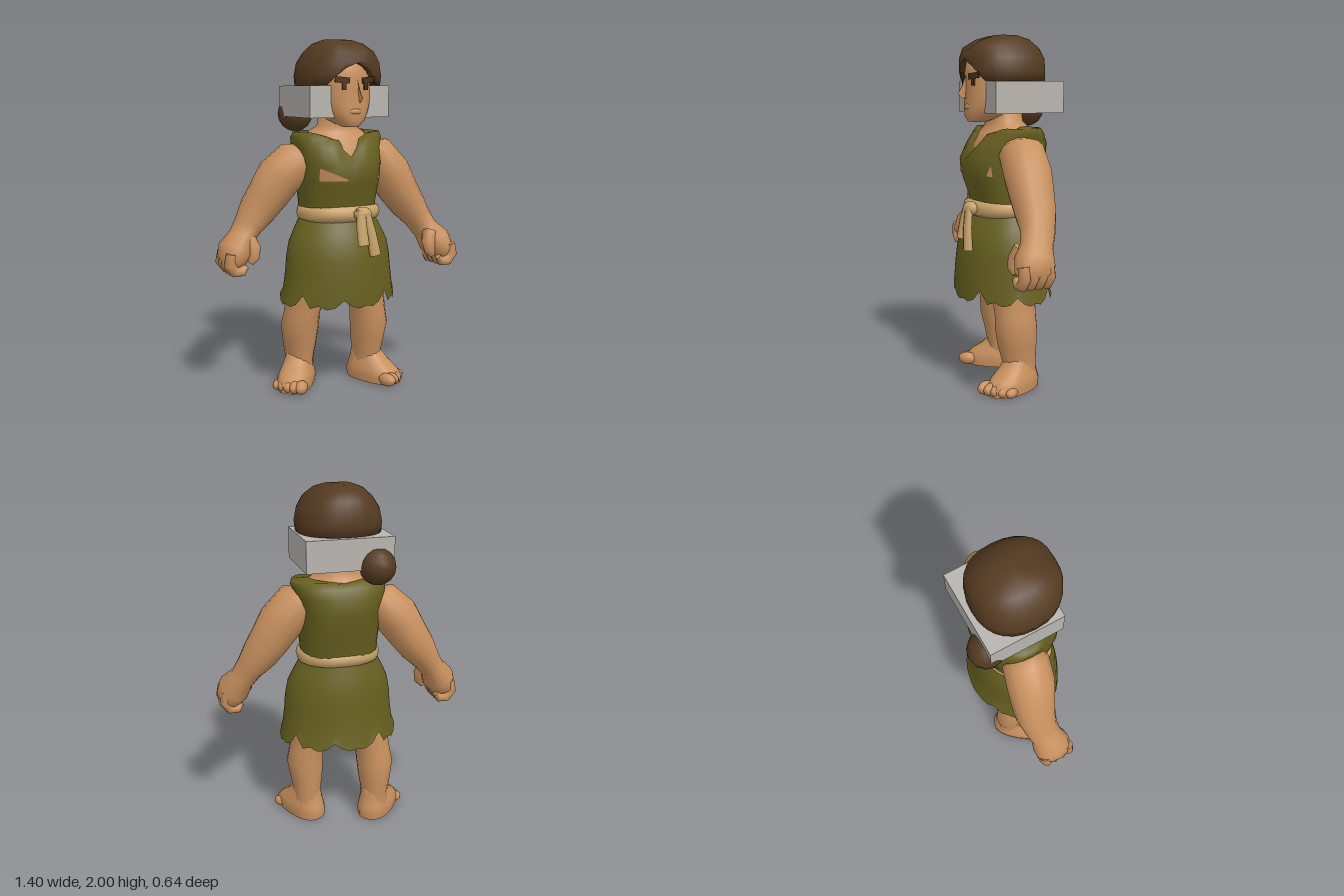
import * as THREE from 'three';

const mat = (name, color, side = THREE.FrontSide) => {
  const m = new THREE.MeshStandardMaterial({ color, side });
  m.name = name;
  return m;
};

// Skin of rings [x, y, z, ru, rv]; rings lie level, or square to the path when follow is set.
function loft(rings, { n = 16, p = 2, follow = false, caps = true, shape } = {}) {
  const pos = [], idx = [];
  const C = rings.map((r) => new THREE.Vector3(r[0], r[1], r[2]));
  const T = new THREE.Vector3(), U = new THREE.Vector3(), V = new THREE.Vector3();
  const Z = new THREE.Vector3(0, 0, 1), last = rings.length - 1;
  const se = (c) => Math.sign(c) * Math.abs(c) ** (2 / p);
  rings.forEach((r, i) => {
    T.set(0, 1, 0);
    if (follow) T.subVectors(C[Math.min(i + 1, last)], C[Math.max(i - 1, 0)]).normalize();
    U.crossVectors(T, Z).normalize();
    V.crossVectors(U, T);
    for (let j = 0; j < n; j++) {
      const a = (j / n) * Math.PI * 2;
      const v = C[i].clone().addScaledVector(U, r[3] * se(Math.cos(a))).addScaledVector(V, r[4] * se(Math.sin(a)));
      if (shape) shape(v, i, j);
      pos.push(v.x, v.y, v.z);
      if (i < last) {
        const k = (j + 1) % n, A = i * n + j, B = i * n + k;
        idx.push(A, A + n, B, B, A + n, B + n);
      }
    }
  });
  if (caps) for (const i of [0, last]) {
    const s = pos.length / 3;
    pos.push(...pos.slice(i * n * 3, (i + 1) * n * 3), C[i].x, C[i].y, C[i].z);
    for (let j = 0; j < n; j++) {
      const a = s + j, b = s + ((j + 1) % n);
      idx.push(s + n, ...(i ? [b, a] : [a, b]));
    }
  }
  const g = new THREE.BufferGeometry();
  g.setAttribute('position', new THREE.Float32BufferAttribute(pos, 3));
  g.setIndex(idx);
  g.computeVertexNormals();
  return g;
}

export function createModel() {
  const root = new THREE.Group();
  const skin = mat('skin', 0xc8905e);
  const hair = mat('hair brown', 0x543a20, THREE.DoubleSide);
  const cloth = mat('olive cloth', 0x665f1f, THREE.DoubleSide);
  const rope = mat('belt tan', 0xc6a169);
  const grey = mat('light grey', 0xb8b5b0);
  const dark = mat('brow brown', 0x4a3018);
  const patchSkin = mat('bare patch', 0xc8905e, THREE.DoubleSide);
  const add = (name, geo, m, parent = root) => {
    const mesh = new THREE.Mesh(geo, m);
    mesh.name = name;
    parent.add(mesh);
    return mesh;
  };
  const ball = (name, m, x, y, z, rx, ry, rz, parent) => {
    const b = add(name, new THREE.SphereGeometry(1, 12, 8), m, parent);
    b.position.set(x, y, z);
    b.scale.set(rx, ry, rz);
    return b;
  };

  // Head and neck
  add('head', loft([
    [0, 1.52, 0.18, 0.045, 0.05], [0, 1.555, 0.125, 0.095, 0.124], [0, 1.6, 0.08, 0.132, 0.166],
    [0, 1.65, 0.06, 0.152, 0.184], [0, 1.7, 0.05, 0.157, 0.19], [0, 1.78, 0.05, 0.152, 0.192],
    [0, 1.86, 0.04, 0.14, 0.19], [0, 1.92, 0.03, 0.1, 0.13],
  ], { n: 24, p: 2.2 }), skin);
  add('neckAndChest', loft([
    [0, 1.28, 0.02, 0.2, 0.19], [0, 1.4, 0.01, 0.21, 0.175], [0, 1.455, 0, 0.203, 0.145],
    [0, 1.487, 0, 0.168, 0.12], [0, 1.52, 0.008, 0.115, 0.104], [0, 1.62, 0.015, 0.1, 0.1],
  ], { n: 20 }), skin);
  add('nose', loft([
    [0, 1.78, 0.225, 0.016, 0.02], [0, 1.72, 0.247, 0.019, 0.024], [0, 1.675, 0.262, 0.03, 0.034],
    [0, 1.65, 0.242, 0.026, 0.024],
  ], { n: 8 }), skin);
  ball('lips', skin, 0, 1.603, 0.23, 0.045, 0.02, 0.022);
  for (const s of [-1, 1]) {
    const brow = add('eyebrow', new THREE.BoxGeometry(0.082, 0.032, 0.009), dark);
    brow.position.set(s * 0.078, 1.774, 0.234);
    brow.rotation.set(0, s * 0.32, s * 0.1);
    const eye = add('eye', new THREE.BoxGeometry(0.024, 0.038, 0.009), dark);
    eye.position.set(s * 0.066, 1.738, 0.234);
    eye.rotation.y = s * 0.25;
  }

  // Hair parted over the forehead, with a bun behind
  add('hair', loft([
    [0, 1.74, 0.02, 0.15, 0.19], [0, 1.742, 0.02, 0.235, 0.232], [0, 1.8, 0.022, 0.24, 0.236],
    [0, 1.87, 0.024, 0.225, 0.236], [0, 1.93, 0.03, 0.187, 0.214], [0, 1.975, 0.02, 0.138, 0.15],
    [0, 1.998, 0.012, 0.08, 0.075], [0, 2, 0.012, 0.01, 0.01],
  ], {
    n: 28, p: 2.3, shape: (v) => {
      if (v.z > 0.06) v.y = Math.max(v.y, 1.885 - 0.6 * Math.abs(v.x) - 1.8 * v.x * v.x);
      v.y -= 0.1 * Math.max(0, v.z - 0.06) * Math.exp(-((v.x / 0.045) ** 2));
    },
  }), hair);
  ball('hairBun', hair, -0.155, 1.583, -0.22, 0.103, 0.103, 0.1);

  // Block around the head
  add('headBlock', new THREE.BoxGeometry(0.49, 0.175, 0.42), grey).position.set(0, 1.657, -0.03);

  // Tunic top with a V neckline
  add('tunicTop', loft([
    [0, 1.0, 0.015, 0.22, 0.175], [0, 1.1, 0.015, 0.224, 0.185], [0, 1.2, 0.02, 0.232, 0.218],
    [0, 1.31, 0.02, 0.237, 0.237], [0, 1.4, -0.005, 0.255, 0.207], [0.008, 1.455, -0.01, 0.272, 0.168],
    [0.01, 1.487, -0.01, 0.262, 0.142], [0, 1.498, -0.01, 0.18, 0.107],
  ], {
    n: 32, p: 2.4, caps: false, shape: (v) => {
      const x = Math.abs(v.x);
      if (v.z > 0) v.y = Math.min(v.y, 1.35 + 2.2 * x, 1.425 + 0.33 * x);
      else v.y = Math.min(v.y, 1.475 + 0.12 * x);
    },
  }), cloth);

  // Bare patches on the chest
  const chestZ = (x, y) => {
    const t = (y - 1.2) / 0.11, rx = 0.232 + 0.005 * t, rz = 0.218 + 0.019 * t;
    return 0.026 + rz * (1 - (Math.abs(x) / rx) ** 2.4) ** (1 / 2.4);
  };
  for (const [x0, x1, h0, h1] of [[-0.19, -0.04, 0.07, 0.004], [0.165, 0.19, 0.005, 0.06]]) {
    const g = new THREE.PlaneGeometry(1, 1, 6, 1), a = g.attributes.position;
    for (let i = 0; i < a.count; i++) {
      const t = a.getX(i) + 0.5, x = x0 + (x1 - x0) * t;
      const y = 1.225 + (a.getY(i) + 0.5) * (h0 + (h1 - h0) * t);
      a.setXYZ(i, x, y, chestZ(x, y));
    }
    g.computeVertexNormals();
    add('chestPatch', g, patchSkin);
  }

  // Skirt with a torn hem and a point at the back
  const tear = [0, 0.015, 0.05, 0.01, 0, 0.02, 0.005, 0.08, 0.02, 0, 0.01];
  add('skirt', loft([
    [0, 0.512, 0.022, 0.35, 0.276], [0, 0.6, 0.031, 0.334, 0.266], [0, 0.7, 0.033, 0.321, 0.257],
    [0, 0.78, 0.032, 0.315, 0.248], [0, 0.86, 0.03, 0.3, 0.236], [0, 0.93, 0.024, 0.268, 0.21],
    [0, 1.03, 0.015, 0.215, 0.17],
  ], {
    n: 44, p: 1.9, caps: false, shape: (v, i, j) => { if (i === 0) v.y += tear[j % 11]; },
  }), cloth);

  // Rope belt, knot and hanging ends
  add('belt', loft([
    [0, 0.985, 0.03, 0.21, 0.17], [0, 1.0, 0.03, 0.236, 0.198], [0, 1.03, 0.03, 0.244, 0.206],
    [0, 1.06, 0.03, 0.236, 0.198], [0, 1.075, 0.03, 0.21, 0.17],
  ], { n: 24, p: 2.2 }), rope);
  ball('beltKnot', rope, 0.045, 1.035, 0.245, 0.055, 0.042, 0.04);
  const ends = [
    [[0.03, 1.06, 0.255], [0.022, 0.97, 0.275], [0.027, 0.865, 0.295]],
    [[0.055, 1.05, 0.258], [0.08, 0.93, 0.28], [0.105, 0.805, 0.288]],
  ];
  for (const e of ends)
    add('beltEnd', loft(e.map((q, i) => [...q, 0.03 + i * 0.003, 0.02 + i * 0.003]), { n: 8, follow: true }), rope);

  // Hips
  add('hips', loft([
    [0, 0.56, 0, 0.08, 0.09], [0, 0.64, 0, 0.2, 0.15], [0, 0.85, 0, 0.22, 0.16],
  ], { n: 14 }), skin);

  // Arms ending in fists, each swung differently in depth
  const armPath = [
    [0.19, 1.385, 0.07, 0.09], [0.235, 1.355, 0.12, 0.13], [0.335, 1.235, 0.13, 0.134], [0.4, 1.13, 0.116, 0.124],
    [0.455, 1.05, 0.105, 0.114], [0.515, 0.965, 0.08, 0.097], [0.555, 0.91, 0.072, 0.09],
    [0.6, 0.84, 0.095, 0.11], [0.628, 0.78, 0.078, 0.105], [0.637, 0.75, 0.045, 0.075],
  ];
  const sides = {
    right: { s: -1, drop: 0, slope: 0.025, armZ: [-0.02, -0.03, -0.05, -0.07, -0.083, -0.08, -0.072, -0.06, -0.05, -0.05] },
    left: { s: 1, drop: 0.015, slope: 0, armZ: [0.01, 0.02, 0.032, 0.042, 0.052, 0.072, 0.1, 0.135, 0.155, 0.16] },
  };
  for (const [side, { s, drop, slope, armZ }] of Object.entries(sides)) {
    const arm = new THREE.Group();
    arm.name = side + 'Arm';
    root.add(arm);
    add('arm', loft(armPath.map(([x, y, a, b], i) => [s * x, y - (i > 5 ? drop : 0) - (i < 2 ? slope : 0), armZ[i], a, b]),
      { n: 14, follow: true }), skin, arm);
    const hand = new THREE.Group();
    hand.name = side + 'Hand';
    hand.position.set(0, -drop, armZ[8]);
    arm.add(hand);
    for (let f = 0; f < 4; f++) {
      const z = (f - 1.5) * 0.048;
      add('finger', loft([
        [s * 0.65, 0.83, z, 0.032, 0.031], [s * 0.662, 0.77, z, 0.035, 0.032], [s * 0.632, 0.728, z, 0.031, 0.031],
        [s * 0.59, 0.728, z, 0.028, 0.029], [s * 0.568, 0.757, z, 0.018, 0.02],
      ], { n: 10, follow: true }), skin, hand);
    }
    add('thumb', loft([
      [s * 0.535, 0.905, 0.025, 0.042, 0.042], [s * 0.512, 0.848, 0.05, 0.042, 0.038],
      [s * 0.515, 0.8, 0.06, 0.034, 0.032], [s * 0.535, 0.767, 0.057, 0.018, 0.018],
    ], { n: 10, follow: true }), skin, hand);
  }

  // Legs and feet
  const legPath = [
    [0.08, 0.2, 0.082, 0.1], [0.15, 0.2, 0.08, 0.1], [0.25, 0.2, 0.096, 0.116], [0.35, 0.204, 0.109, 0.125],
    [0.43, 0.195, 0.103, 0.122], [0.5, 0.18, 0.11, 0.125], [0.62, 0.16, 0.122, 0.135], [0.82, 0.13, 0.12, 0.13],
  ];
  const stance = [
    { side: 'left', s: 1, z: [0.01, 0.013, 0.025, 0.035, 0.035, 0.035, 0.03, 0.01], yaw: 0.4 },
    { side: 'right', s: -1, z: [-0.09, -0.085, -0.08, -0.065, -0.055, -0.045, -0.03, -0.01], yaw: -0.68 },
  ];
  for (const { side, s, z, yaw } of stance) {
    const leg = new THREE.Group();
    leg.name = side + 'Leg';
    root.add(leg);
    add('leg', loft(legPath.map(([y, x, a, b], i) => [s * x, y, z[i], a, b]), { n: 14 }), skin, leg);
    const foot = new THREE.Group();
    foot.name = side + 'Foot';
    foot.position.set(s * 0.2, 0, z[0]);
    foot.rotation.y = yaw;
    leg.add(foot);
    add('sole', loft([
      [0, 0, 0.06, 0.098, 0.18], [0, 0.045, 0.06, 0.104, 0.184], [0, 0.08, 0.048, 0.097, 0.16],
      [0, 0.12, 0.025, 0.084, 0.124], [0, 0.16, 0.008, 0.074, 0.1], [0, 0.21, 0, 0.06, 0.08],
    ], { n: 18, p: 2.4 }), skin, foot);
    for (let t = 0; t < 5; t++) {
      const k = t / 4, r = 0.038 - 0.01 * k;
      ball('toe', skin, s * (-0.07 + 0.155 * k), r, 0.217 - 0.045 * k * k, r * 0.95, r, r * 1.5, foot);
    }
  }
  return root;
}
